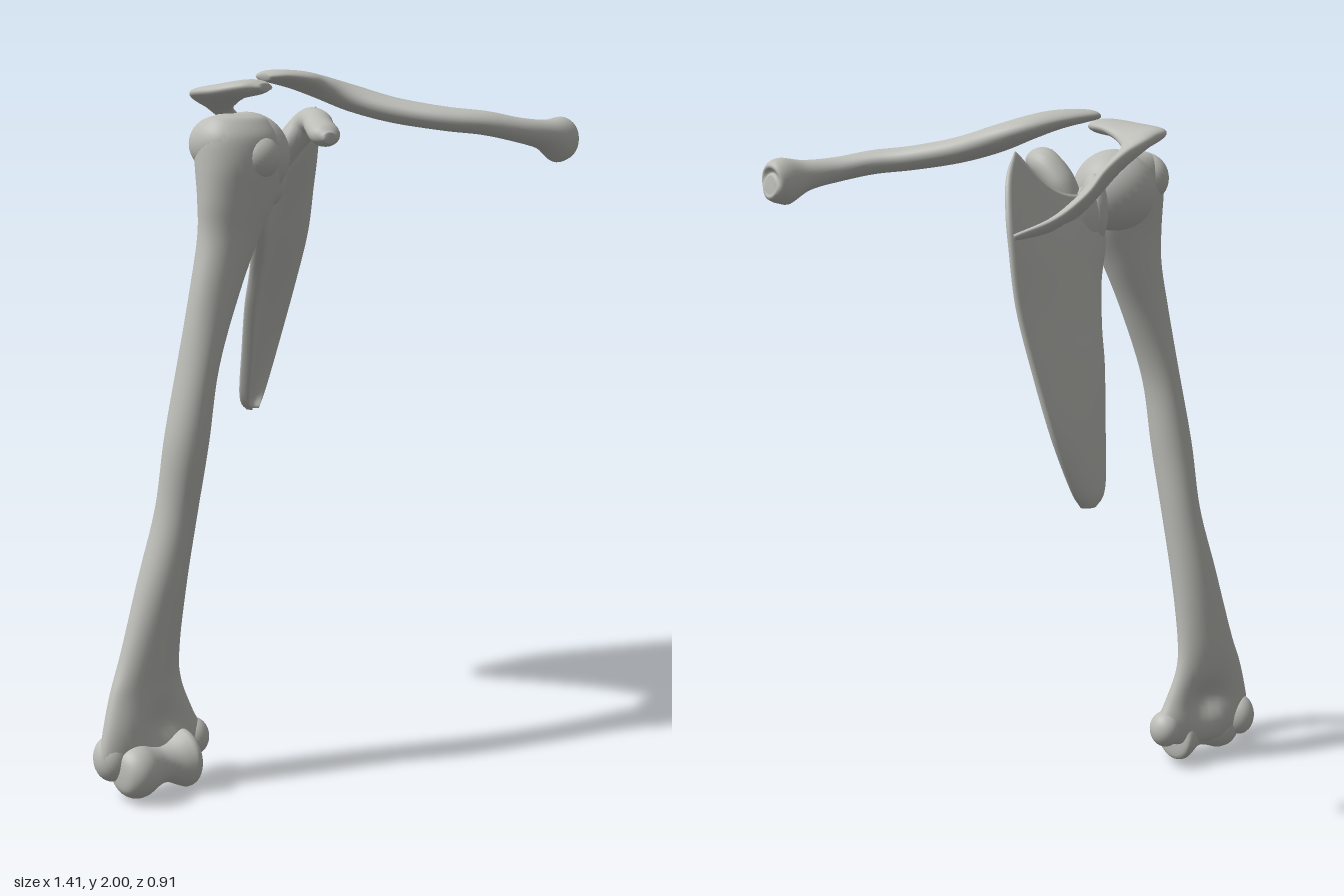
import * as THREE from 'three';

const V = (x, y, z) => new THREE.Vector3(x, y, z);
const bone = new THREE.MeshStandardMaterial({ color: 0xbdbdb8 });
bone.name = 'bone grey';

// Smooth solid through sections [edge A, edge B, half thickness].
// profile(c, s) shapes the cross-section; warp(p, v, u) nudges each point.
function loft(sections, { sides = 32, steps = 6, profile = (c, s) => s, warp } = {}) {
  const curve = (pts) => new THREE.CatmullRomCurve3(pts, false, 'catmullrom', 0.5);
  const a = curve(sections.map((s) => s[0]));
  const b = curve(sections.map((s) => s[1]));
  const t = curve(sections.map((s) => V(s[2], 0, 0)));
  const rows = (sections.length - 1) * steps;
  const mid = (v) => a.getPoint(v).add(b.getPoint(v)).multiplyScalar(0.5);
  const pos = [], idx = [];
  for (let i = 0; i <= rows; i++) {
    const v = i / rows, m = mid(v);
    const e = b.getPoint(v).sub(a.getPoint(v)).multiplyScalar(0.5);
    const d = mid(Math.min(1, v + 0.01)).sub(mid(Math.max(0, v - 0.01)));
    const n = d.cross(e).normalize().multiplyScalar(t.getPoint(v).x);
    for (let j = 0; j < sides; j++) {
      const q = (j / sides) * Math.PI * 2, c = Math.cos(q);
      const p = m.clone().addScaledVector(e, c).addScaledVector(n, profile(c, Math.sin(q)));
      if (warp) warp(p, v, (c + 1) / 2);
      pos.push(p.x, p.y, p.z);
    }
  }
  const at = (i, j) => i * sides + (j % sides);
  for (let i = 0; i < rows; i++)
    for (let j = 0; j < sides; j++)
      idx.push(at(i, j), at(i, j + 1), at(i + 1, j), at(i, j + 1), at(i + 1, j + 1), at(i + 1, j));
  // End caps as strips across the ring
  for (let j = 0; j < sides / 2; j++) {
    const k = sides - j;
    idx.push(at(0, j), at(0, k - 1), at(0, j + 1), at(0, j), at(0, k), at(0, k - 1));
    idx.push(at(rows, j), at(rows, j + 1), at(rows, k - 1), at(rows, j), at(rows, k - 1), at(rows, k));
  }
  // Keep faces pointing outward
  let volume = 0;
  const P = (i) => V(pos[3 * i], pos[3 * i + 1], pos[3 * i + 2]);
  for (let i = 0; i < idx.length; i += 3) volume += P(idx[i]).dot(P(idx[i + 1]).cross(P(idx[i + 2])));
  if (volume < 0) idx.reverse();
  const g = new THREE.BufferGeometry();
  g.setAttribute('position', new THREE.Float32BufferAttribute(pos, 3));
  g.setIndex(idx);
  g.computeVertexNormals();
  return g;
}

// Sections for a rod through [x, y, z, half width, half thickness]
function rod(points) {
  return points.map(([x, y, z, w, t], i) => {
    const p = points[Math.max(0, i - 1)], q = points[Math.min(points.length - 1, i + 1)];
    const side = V(-(q[2] - p[2]), 0, q[0] - p[0]).normalize().multiplyScalar(w);
    return [V(x, y, z).sub(side), V(x, y, z).add(side), t];
  });
}

function add(group, name, geometry) {
  const m = new THREE.Mesh(geometry, bone);
  m.name = name;
  group.add(m);
  return m;
}

function knob(group, name, [x, y, z], [rx, ry, rz], turn = 0) {
  const m = add(group, name, new THREE.SphereGeometry(1, 32, 20));
  m.position.set(x, y, z);
  m.scale.set(rx, ry, rz);
  m.rotation.y = turn;
}

function upperArm() {
  const g = new THREE.Group();
  g.name = 'upperArmBone';
  // Shaft: [x outer, x inner, y, z centre, half depth]
  const shaft = [
    [-0.66, -0.42, 0.06, -0.03, 0.025], [-0.69, -0.36, 0.085, -0.035, 0.045],
    [-0.70, -0.34, 0.13, -0.04, 0.055], [-0.685, -0.375, 0.2, -0.045, 0.058],
    [-0.65, -0.41, 0.3, -0.055, 0.053], [-0.61, -0.42, 0.4, -0.053, 0.058],
    [-0.555, -0.41, 0.6, -0.035, 0.064], [-0.505, -0.39, 0.8, -0.012, 0.062],
    [-0.49, -0.37, 1.0, 0.015, 0.065], [-0.455, -0.345, 1.2, 0.03, 0.062],
    [-0.42, -0.27, 1.4, 0.038, 0.06], [-0.39, -0.2, 1.55, 0.04, 0.07],
    [-0.39, -0.15, 1.65, 0.045, 0.085], [-0.39, -0.13, 1.75, 0.045, 0.105],
    [-0.385, -0.14, 1.82, 0.04, 0.1], [-0.36, -0.17, 1.865, 0.04, 0.07],
    [-0.32, -0.2, 1.88, 0.04, 0.03],
  ].map(([x0, x1, y, z, t]) => [V(x0, y, z), V(x1, y, z), t]);
  // Hollows above the elbow joint, front and back
  const warp = (p) => {
    const r = ((p.x + 0.51) / 0.06) ** 2 + ((p.y - 0.2) / 0.06) ** 2;
    p.z += (p.z < -0.045 ? 0.045 : -0.03) * Math.exp(-r);
  };
  add(g, 'armShaft', loft(shaft, { sides: 40, warp }));
  knob(g, 'armHead', [-0.212, 1.765, 0.02], [0.122, 0.12, 0.12]);
  knob(g, 'lesserTubercle', [-0.25, 1.765, 0.115], [0.06, 0.06, 0.055]);
  knob(g, 'greaterTubercle', [-0.325, 1.8, 0.03], [0.065, 0.075, 0.09]);
  // Elbow joint: a spool turned about the x axis
  const spool = [[0, -0.665], [0.045, -0.66], [0.07, -0.635], [0.075, -0.6], [0.062, -0.56],
    [0.055, -0.53], [0.06, -0.5], [0.078, -0.465], [0.085, -0.445], [0.07, -0.428], [0, -0.42]];
  const curve = new THREE.SplineCurve(spool.map(([r, x]) => new THREE.Vector2(r, x)));
  const outline = curve.getPoints(40).map((p) => new THREE.Vector2(Math.max(0, p.x), p.y));
  const joint = add(g, 'elbowJoint', new THREE.LatheGeometry(outline, 32));
  joint.rotation.z = -Math.PI / 2;
  joint.position.set(0, 0.085, -0.005);
  knob(g, 'innerEpicondyle', [-0.375, 0.12, -0.04], [0.046, 0.055, 0.05]);
  knob(g, 'outerEpicondyle', [-0.655, 0.12, -0.055], [0.048, 0.065, 0.055]);
  return g;
}

function shoulderBlade() {
  const g = new THREE.Group();
  g.name = 'shoulderBlade';
  // Blade rows from the lower tip upward: outer border, inner border
  const rows = [
    [V(0.17, 0.955, -0.405), V(0.215, 0.955, -0.415), 0.015],
    [V(0.13, 1.0, -0.385), V(0.26, 1.01, -0.435), 0.022],
    [V(0.08, 1.15, -0.315), V(0.33, 1.16, -0.445), 0.025],
    [V(0.03, 1.3, -0.245), V(0.375, 1.34, -0.42), 0.025],
    [V(0, 1.4, -0.19), V(0.405, 1.5, -0.395), 0.026],
    [V(-0.05, 1.52, -0.115), V(0.415, 1.65, -0.38), 0.03],
    [V(-0.1, 1.62, -0.065), V(0.41, 1.74, -0.36), 0.032],
    [V(-0.1, 1.7, -0.055), V(0.385, 1.83, -0.325), 0.028],
    [V(-0.08, 1.77, -0.06), V(0.33, 1.89, -0.275), 0.012],
  ];
  // Thick rims, thin middle, hollow front, dipped upper border
  const profile = (c, s) => Math.sign(s) * Math.sqrt(Math.abs(s)) * (0.4 + 0.6 * c * c) * (1 - 0.4 * c);
  const warp = (p, v, u) => {
    const arch = Math.sin(Math.PI * u);
    p.z -= 0.03 * arch * Math.sin(Math.PI * Math.min(1, v + 0.15));
    p.y -= 0.05 * arch * Math.max(0, (v - 0.6) / 0.4);
  };
  add(g, 'blade', loft(rows, { sides: 48, profile, warp }));
  // Spine running outward into the flat acromion: free edge, attached edge
  const ridge = [
    [V(0.405, 1.68, -0.385), V(0.395, 1.67, -0.365), 0.008],
    [V(0.28, 1.72, -0.39), V(0.27, 1.68, -0.31), 0.014],
    [V(0.17, 1.78, -0.375), V(0.15, 1.69, -0.21), 0.017],
    [V(0.06, 1.84, -0.31), V(0.03, 1.71, -0.13), 0.02],
    [V(-0.06, 1.89, -0.255), V(-0.03, 1.8, -0.16), 0.022],
    [V(-0.17, 1.92, -0.225), V(-0.085, 1.88, -0.175), 0.023],
    [V(-0.237, 1.935, -0.19), V(-0.115, 1.91, -0.125), 0.024],
    [V(-0.25, 1.94, -0.08), V(-0.115, 1.94, -0.06), 0.024],
    [V(-0.222, 1.95, 0), V(-0.11, 1.95, 0), 0.022],
    [V(-0.18, 1.95, 0.04), V(-0.13, 1.95, 0.037), 0.01],
  ];
  add(g, 'spineAndAcromion', loft(ridge));
  // Socket and neck
  knob(g, 'socket', [-0.08, 1.715, -0.06], [0.04, 0.105, 0.07], -0.45);
  knob(g, 'socketNeck', [-0.03, 1.7, -0.085], [0.085, 0.085, 0.045], 0.55);
  // Hook reaching forward
  add(g, 'coracoid', loft(rod([
    [0.01, 1.74, -0.085, 0.045, 0.03], [0.035, 1.8, -0.06, 0.05, 0.04], [0.055, 1.85, -0.015, 0.045, 0.04],
    [0.03, 1.855, 0.045, 0.042, 0.034], [-0.01, 1.84, 0.1, 0.042, 0.032],
    [-0.04, 1.82, 0.155, 0.042, 0.032], [-0.053, 1.813, 0.187, 0.018, 0.014],
  ]), { sides: 24 }));
  return g;
}

function collarBone() {
  const g = new THREE.Group();
  g.name = 'collarBone';
  // S-curved rod, flat at the shoulder and flared at the breastbone end
  add(g, 'collarBoneShaft', loft(rod([
    [-0.115, 1.978, -0.015, 0.025, 0.01], [-0.07, 1.98, -0.025, 0.06, 0.018],
    [0.02, 1.97, -0.025, 0.073, 0.026], [0.1, 1.95, -0.015, 0.066, 0.033],
    [0.175, 1.918, 0.04, 0.058, 0.038], [0.24, 1.885, 0.145, 0.05, 0.036],
    [0.32, 1.862, 0.265, 0.047, 0.034], [0.4, 1.85, 0.345, 0.045, 0.034],
    [0.49, 1.83, 0.393, 0.043, 0.035], [0.58, 1.815, 0.41, 0.046, 0.043],
    [0.655, 1.8, 0.406, 0.055, 0.066], [0.69, 1.79, 0.4, 0.047, 0.052], [0.7, 1.79, 0.398, 0.022, 0.025],
  ])));
  return g;
}

export function createModel() {
  const model = new THREE.Group();
  model.name = 'shoulderBones';
  model.add(upperArm(), shoulderBlade(), collarBone());
  return model;
}
